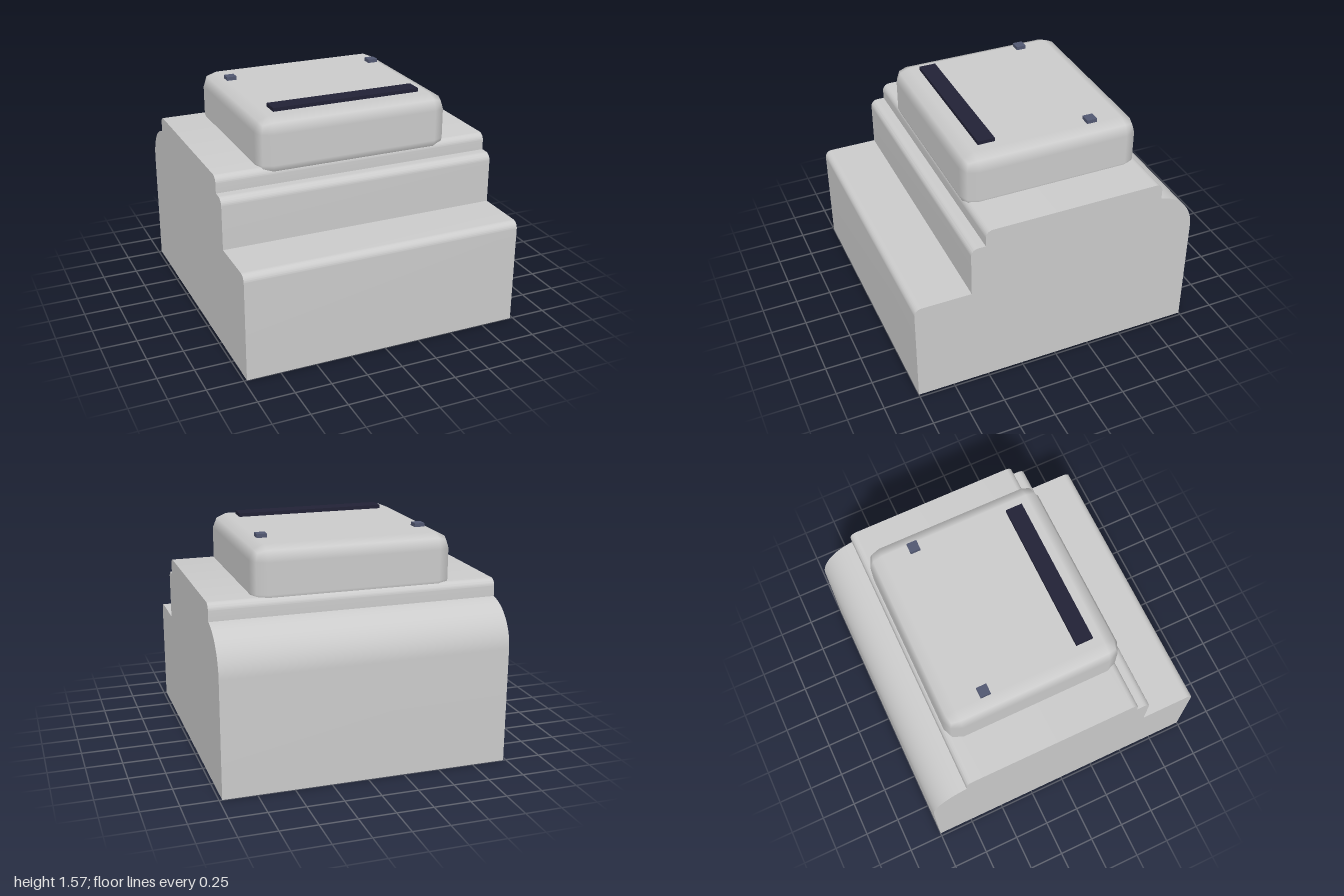
import * as THREE from 'three';
import { toCreasedNormals } from 'three/addons/utils/BufferGeometryUtils.js';
import { RoundedBoxGeometry } from 'three/addons/geometries/RoundedBoxGeometry.js';

const grey = new THREE.MeshStandardMaterial({ color: 0xcccccc });
const dark = new THREE.MeshStandardMaterial({ color: 0x222236 });
const slate = new THREE.MeshStandardMaterial({ color: 0x525872 });

export function createModel() {
  const model = new THREE.Group();
  const add = (name, geometry, material, x = 0, y = 0, z = 0) => {
    const mesh = new THREE.Mesh(geometry, material);
    mesh.name = name;
    mesh.position.set(x, y, z);
    model.add(mesh);
  };

  // Stepped body: side profile (z, y) swept across the width
  const width = 1.96, r = 0.05;
  const profile = new THREE.Shape();
  // Vertical edge up to a rounded corner, seen from the front (+z) side
  const frontStep = (z, top) => {
    profile.lineTo(z, top - r);
    profile.absarc(z - r, top - r, r, 0, Math.PI / 2, false);
  };
  profile.moveTo(-1, 0);
  profile.lineTo(1, 0);
  frontStep(1, 0.745);
  profile.lineTo(0.61, 0.745);
  frontStep(0.61, 1.1);
  profile.lineTo(0.51, 1.1);
  frontStep(0.51, 1.215);
  profile.absarc(-0.745 + r, 1.215 - r, r, Math.PI / 2, Math.PI, false);
  // Large rounded shoulder at the back
  profile.absarc(-0.7, 0.8, 0.3, Math.acos(-0.15), Math.PI, false);
  profile.closePath();
  const body = new THREE.ExtrudeGeometry(profile, { depth: width, bevelEnabled: false, curveSegments: 12 });
  body.translate(0, 0, -width / 2);
  body.rotateY(-Math.PI / 2);
  add('steppedBody', toCreasedNormals(body, 0.5), grey);

  // Softened block sunk into the top step
  add('topBlock', new RoundedBoxGeometry(1.37, 0.41, 1.25, 1, 0.1), grey, 0, 1.335, -0.1);

  // Dark strip and two small pads on the block
  add('frontStrip', new THREE.BoxGeometry(1.056, 0.035, 0.118), dark, 0, 1.5475, 0.31);
  for (const side of [-1, 1]) {
    add(side > 0 ? 'leftPad' : 'rightPad', new THREE.BoxGeometry(0.07, 0.035, 0.07), slate, side * 0.55, 1.5475, -0.415);
  }
  return model;
}
